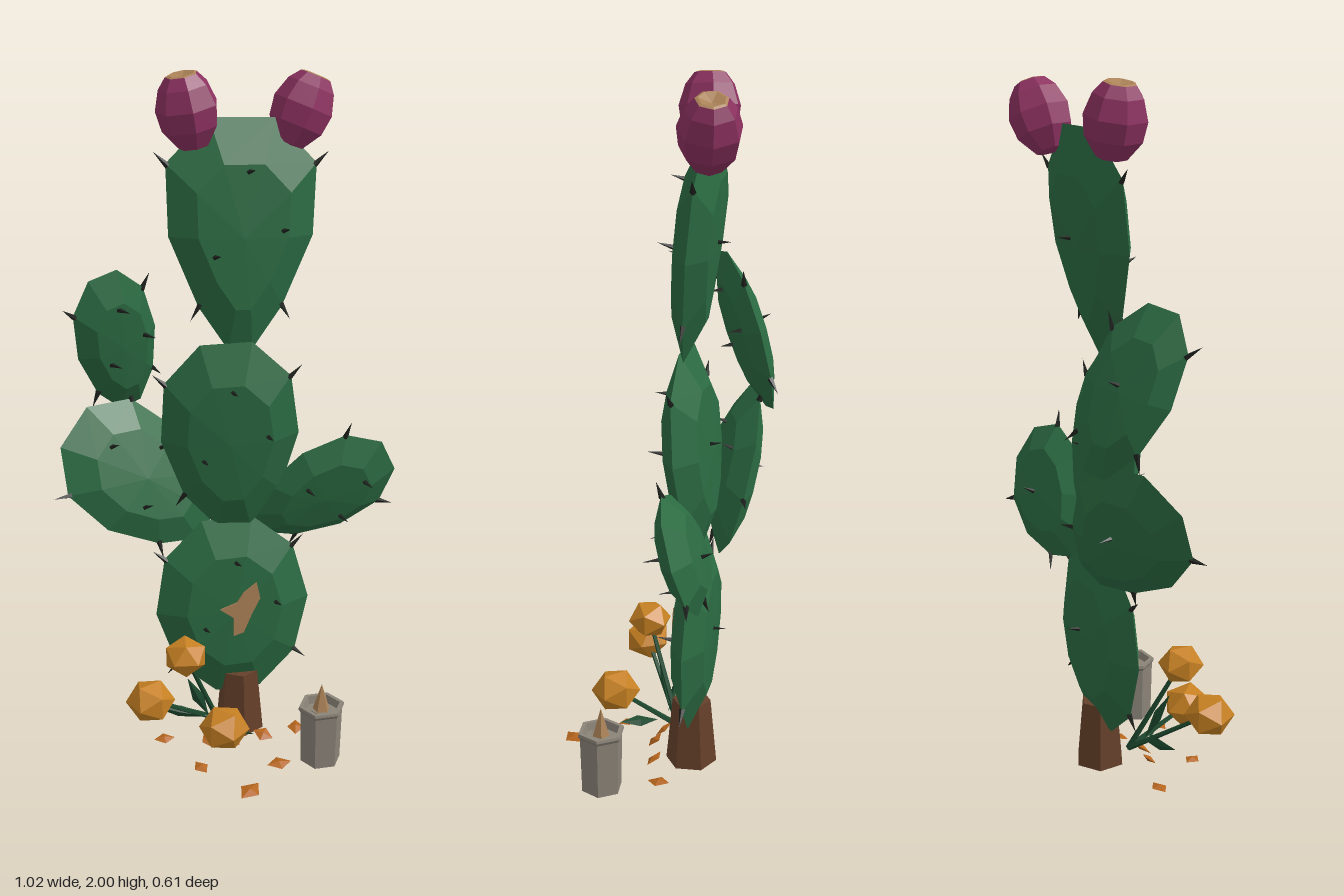
import * as THREE from 'three';

const mat = (name, color) => {
  const m = new THREE.MeshStandardMaterial({ color });
  m.name = name;
  return m;
};
const V = (x, y, z) => new THREE.Vector3(x, y, z);
const V2 = ([x, y]) => new THREE.Vector2(x, y);
const UP = V(0, 1, 0);
const SIDES = 10;

// Splits shared vertices so every facet is flat
function faceted(geo) {
  const g = geo.index ? geo.toNonIndexed() : geo;
  g.computeVertexNormals();
  return g;
}

// Each pad is an egg from base to tip lying in a plane: a and b are its slopes in x and y
const PADS = [
  { name: 'basePad', base: [0, 0.13], tip: [-0.03, 0.7], width: 0.46, egg: 0.05, z: -0.115, a: 0.06, b: -0.03, t: 0.056 },
  { name: 'middlePad', base: [-0.01, 0.68], tip: [-0.04, 1.26], width: 0.39, egg: 0.2, z: -0.1, a: 0.15, b: 0.08, t: 0.06 },
  { name: 'rightLowerPad', base: [-0.08, 0.65], tip: [-0.46, 1], width: 0.33, egg: 0.25, z: -0.19, a: -0.3, b: -0.35, t: 0.05 },
  { name: 'rightUpperPad', base: [-0.28, 1.02], tip: [-0.37, 1.46], width: 0.24, egg: 0.15, z: -0.215, a: -0.5, b: 0.25, t: 0.042 },
  { name: 'leftPad', base: [0.06, 0.67], tip: [0.45, 0.87], width: 0.32, egg: 0.2, z: -0.115, a: -0.05, b: 0.3, t: 0.05 },
  { name: 'topPad', base: [0, 1.24], tip: [0.02, 1.87], width: 0.4, egg: 0.45, z: -0.115, a: 0.04, b: -0.11, t: 0.056 },
];
// Spines shared by all pads: rim corners, and [along, across, side] on the faces
const RIM_SPINES = [1, 3, 6, 8];
const FACE_SPINES = [[0.28, 0.03, 1], [-0.08, -0.2, 1], [0.03, 0.27, 1], [0.04, 0.05, -1]];

// Returns a pad's normal, a map from the front plan onto its plane, and one along its axis
function padFrame({ base, tip, width, z, a, b }) {
  const [cx, cy] = [(base[0] + tip[0]) / 2, (base[1] + tip[1]) / 2];
  const axis = V2(tip).sub(V2(base)), length = axis.length();
  axis.normalize();
  const normal = V(-a, -b, 1).normalize();
  const at = (x, y, d) => V(x, y, z + a * (x - cx) + b * (y - cy)).addScaledVector(normal, d);
  const local = (u, v, d) => at(
    cx + axis.x * u * length + axis.y * v * width,
    cy + axis.y * u * length - axis.x * v * width, d);
  return { normal, at, local };
}

// Egg outline corner, in shares of length and width
function eggCorner(i, egg) {
  const f = (2 * Math.PI * (i + 0.5)) / SIDES;
  const along = -Math.cos(f) / Math.cos(Math.PI / SIDES);
  return [along / 2, (Math.sin(f) * (1 + egg * along)) / 2];
}

// Lens-shaped pad: sharp rim, raised inner ring and shallow cap on each side
function padGeometry(p, local) {
  const n = SIDES, pts = [], index = [];
  for (const [s, d] of [[1, 0], [0.62, 0.85], [0.62, -0.85]])
    for (let i = 0; i < n; i++) {
      const [u, v] = eggCorner(i, p.egg);
      pts.push(local(u * s, v * s, d * p.t));
    }
  pts.push(local(0, 0, p.t), local(0, 0, -p.t));
  for (let i = 0; i < n; i++) {
    const j = (i + 1) % n;
    index.push(i, j, n + j, i, n + j, n + i, n + i, n + j, 3 * n);
    index.push(j, i, 2 * n + j, i, 2 * n + i, 2 * n + j, 2 * n + j, 2 * n + i, 3 * n + 1);
  }
  const g = new THREE.BufferGeometry().setFromPoints(pts);
  g.setIndex(index);
  return faceted(g);
}

export function createModel() {
  const root = new THREE.Group();
  root.name = 'pricklyPear';
  const green = mat('padGreen', 0x2b6b42), spineMat = mat('spineBlack', 0x1e221e);
  const magenta = mat('fruitMagenta', 0x8c3160), tan = mat('driedTan', 0xab8257);
  const bark = mat('barkBrown', 0x65402a), orange = mat('flowerOrange', 0xc68022);
  const rust = mat('petalRust', 0xb5651d), stemMat = mat('stemGreen', 0x1d4a2f);
  const stone = mat('stoneGrey', 0x8a8378);

  const add = (name, geo, material, parent = root) => {
    const m = new THREE.Mesh(geo, material);
    m.name = name;
    parent.add(m);
    return m;
  };
  // Places a y-aligned object at a point, pointing along a direction
  const aim = (m, pos, dir) => {
    m.position.copy(pos);
    m.quaternion.setFromUnitVectors(UP, dir.clone().normalize());
    return m;
  };

  // Pads with their spines
  const spineGeo = faceted(new THREE.ConeGeometry(0.009, 0.055, 4).translate(0, 0.018, 0));
  for (const p of PADS) {
    const group = new THREE.Group();
    group.name = p.name;
    root.add(group);
    const { normal, local } = padFrame(p);
    add('pad', padGeometry(p, local), green, group);
    for (const i of RIM_SPINES) {
      const pos = local(...eggCorner(i, p.egg), 0);
      aim(add('spine', spineGeo, spineMat, group), pos, pos.clone().sub(local(0, 0, 0)));
    }
    for (const [u, v, side] of FACE_SPINES)
      aim(add('spine', spineGeo, spineMat, group), local(u, v, side * p.t * 0.85),
        normal.clone().multiplyScalar(side).add(V(0.25, 0.2, 0)));
  }

  // Dry scar lying on the front of the base pad
  const scarShape = new THREE.Shape([[0.05, 0.51], [0.01, 0.48], [-0.01, 0.45], [-0.06, 0.43], [-0.02, 0.4],
    [-0.02, 0.34], [0.01, 0.35], [0.035, 0.41], [0.06, 0.46]].map(V2));
  const scarGeo = new THREE.ExtrudeGeometry(scarShape, { depth: 0.009, bevelEnabled: false });
  const { at } = padFrame(PADS[0]), sp = scarGeo.attributes.position;
  for (let i = 0; i < sp.count; i++) {
    const q = at(sp.getX(i), sp.getY(i), PADS[0].t - 0.006 + sp.getZ(i));
    sp.setXYZ(i, q.x, q.y, q.z);
  }
  add('scar', faceted(scarGeo), tan);

  // Trunk
  add('trunk', faceted(new THREE.CylinderGeometry(0.056, 0.075, 0.2, 6)), bark).position.set(0.005, 0.1, -0.105);

  // Fruits with dried tops
  const fruitGeo = faceted(new THREE.LatheGeometry(
    [[0, 0], [0.042, 0.008], [0.078, 0.06], [0.086, 0.115], [0.068, 0.17], [0.044, 0.2]].map(V2), 7));
  const capGeo = faceted(new THREE.LatheGeometry([[0.044, 0.2], [0.036, 0.203], [0, 0.192]].map(V2), 7));
  for (const [name, pos, dir] of [
    ['rightFruit', V(-0.113, 1.795, -0.13), V(-0.035, 0.2, 0.005)],
    ['leftFruit', V(0.148, 1.785, -0.155), V(0.085, 0.19, -0.02)],
  ]) {
    const g = new THREE.Group();
    g.name = name;
    root.add(aim(g, pos, dir));
    add('fruitBody', fruitGeo, magenta, g);
    add('fruitTop', capGeo, tan, g);
  }

  // Flowers on thin stems
  const stemBase = V(-0.075, 0.06, -0.055);
  for (const [x, y, z, r] of [[-0.3, 0.235, 0.075, 0.072], [-0.19, 0.355, 0.05, 0.066], [-0.095, 0.155, 0.14, 0.074]]) {
    const end = V(x, y, z), d = end.clone().sub(stemBase);
    const stem = add('stem', faceted(new THREE.CylinderGeometry(0.006, 0.009, d.length(), 5)), stemMat);
    aim(stem, stemBase.clone().addScaledVector(d, 0.5), d);
    const f = add('flower', new THREE.IcosahedronGeometry(r, 0), orange);
    f.position.copy(end);
    f.scale.y = 0.88;
    f.rotation.y = x * 9;
  }

  // Slender leaves
  for (const [from, to] of [
    [V(-0.1, 0.09, -0.02), V(-0.29, 0.15, -0.035)],
    [V(-0.085, 0.07, 0.01), V(0, 0.1, 0.11)],
    [V(-0.11, 0.1, -0.02), V(-0.18, 0.26, 0.02)],
  ]) {
    const d = to.clone().sub(from);
    const leaf = add('leaf', new THREE.OctahedronGeometry(0.5), stemMat);
    aim(leaf, from.clone().addScaledVector(d, 0.5), d);
    leaf.scale.set(0.036, d.length(), 0.02);
  }

  // Fallen petals: [x, z, size, tilt]
  [[-0.24, -0.055, 0.032, 0.1], [-0.11, -0.005, 0.034, 0.7], [-0.04, 0.012, 0.036, 0.7], [0.055, 0, 0.032, 0.5],
    [0.165, -0.03, 0.034, 0.1], [0.07, 0.145, 0.037, 0.1], [-0.16, 0.115, 0.03, 0.1], [-0.045, 0.26, 0.042, 0.1]]
    .forEach(([x, z, s, tilt], i) => {
      const petal = add('petal', new THREE.OctahedronGeometry(1), rust);
      petal.scale.set(s, 0.008, s * 0.75);
      petal.position.set(x, 0.008 + s * 0.75 * Math.sin(tilt), z);
      petal.rotation.set(tilt, i * 1.9, 0);
    });

  // Hexagonal stone post with a recessed top and a spike
  const post = new THREE.Group();
  post.name = 'post';
  post.position.set(0.2, 0, 0.13);
  post.rotation.y = Math.PI / 6;
  root.add(post);
  const postProfile = [[0, 0], [0.06, 0], [0.064, 0.17], [0.07, 0.18], [0.068, 0.188], [0.056, 0.188],
    [0.05, 0.165], [0.036, 0.165], [0.033, 0.172], [0, 0.172]];
  add('postBody', faceted(new THREE.LatheGeometry(postProfile.map(V2), 6)), stone, post);
  add('postSpike', faceted(new THREE.ConeGeometry(0.027, 0.09, 5)), tan, post).position.y = 0.212;

  return root;
}
